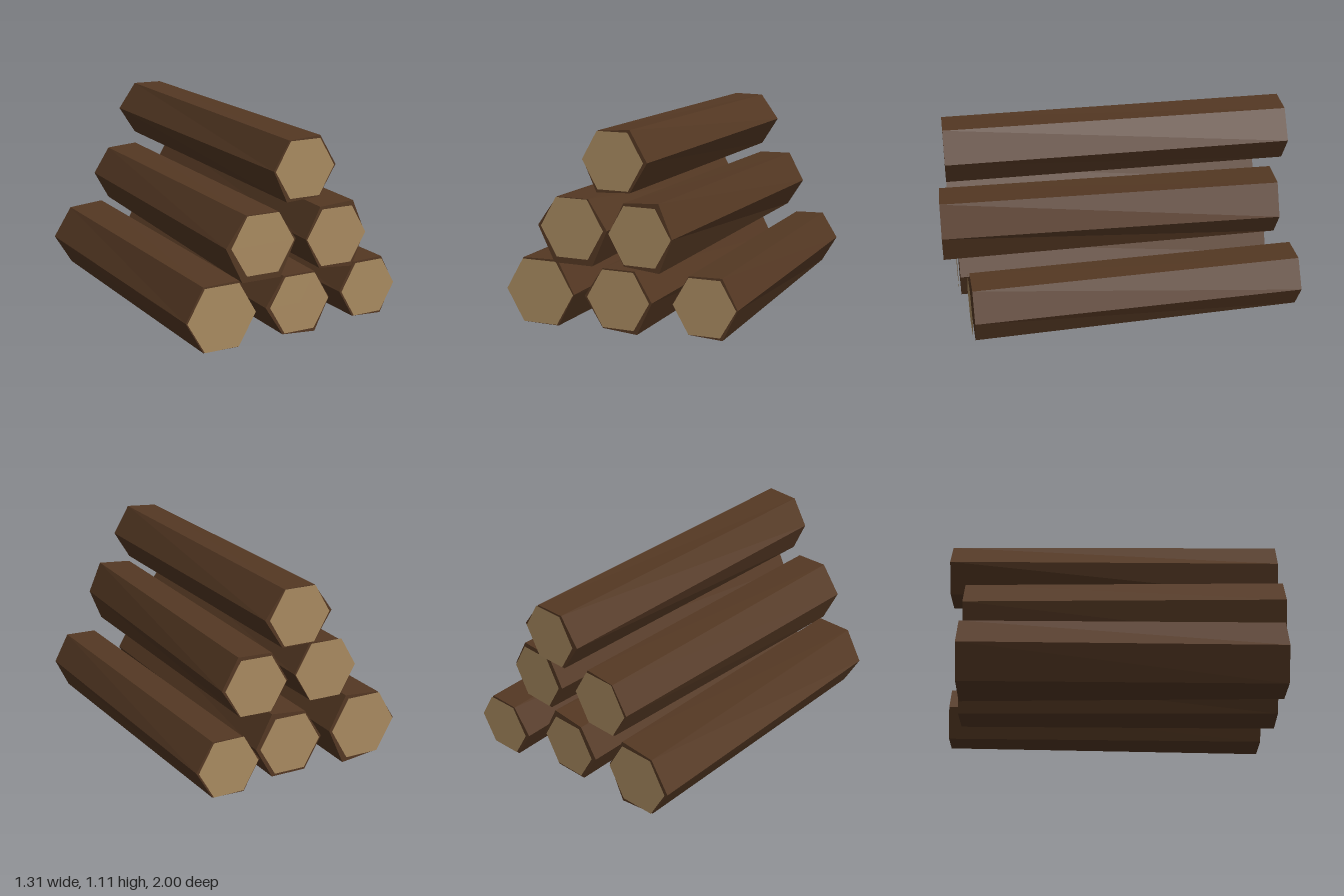
import * as THREE from 'three';

// One log per entry: height, [x, z] of each end, cut-face radius, and the uneven
// corner radii of each end (right, upper right, upper left, left, lower left, lower right).
const LOGS = [
  { name: 'bottomRightLog', y: 0.2, front: [-0.455, 0.882], back: [-0.44, -0.87], cut: 0.2,
    frontR: [0.2, 0.21, 0.205, 0.203, 0.205, 0.208], backR: [0.21, 0.22, 0.2, 0.21, 0.205, 0.235] },
  { name: 'bottomMiddleLog', y: 0.204, front: [0.01, 0.89], back: [0.045, -0.895], cut: 0.18,
    frontR: [0.19, 0.185, 0.185, 0.2, 0.19, 0.207], backR: [0.2, 0.212, 0.19, 0.2, 0.2, 0.202] },
  { name: 'bottomLeftLog', y: 0.202, front: [0.478, 0.85], back: [0.468, -0.986], cut: 0.174,
    frontR: [0.178, 0.185, 0.18, 0.18, 0.18, 0.193], backR: [0.182, 0.175, 0.17, 0.188, 0.187, 0.18] },
  { name: 'middleRightLog', y: 0.572, front: [-0.237, 0.92], back: [-0.185, -0.87], cut: 0.184,
    frontR: [0.2, 0.185, 0.185, 0.208, 0.225, 0.225], backR: [0.185, 0.19, 0.175, 0.185, 0.19, 0.182] },
  { name: 'middleLeftLog', y: 0.572, front: [0.175, 0.977], back: [0.26, -0.9], cut: 0.177,
    frontR: [0.178, 0.205, 0.19, 0.178, 0.19, 0.21], backR: [0.19, 0.195, 0.19, 0.19, 0.19, 0.18] },
  { name: 'topLog', y: 0.942, front: [0.005, 0.928], back: [0.055, -0.978], cut: 0.174,
    frontR: [0.19, 0.188, 0.175, 0.177, 0.197, 0.185], backR: [0.195, 0.172, 0.175, 0.195, 0.185, 0.185] },
];

// Six-sided prism whose corners are pushed to the given radii
function barkGeometry(length, frontR, backR) {
  const geo = new THREE.CylinderGeometry(1, 1, length, 6, 1, false, Math.PI / 2)
    .rotateX(Math.PI / 2).toNonIndexed();
  const pos = geo.attributes.position;
  for (let i = 0; i < pos.count; i++) {
    const x = pos.getX(i), y = pos.getY(i);
    if (Math.hypot(x, y) < 0.5) continue; // centre of an end face
    const corner = (Math.round(Math.atan2(y, x) / (Math.PI / 3)) + 6) % 6;
    const r = (pos.getZ(i) > 0 ? frontR : backR)[corner];
    pos.setXY(i, x * r, y * r);
  }
  geo.computeVertexNormals();
  return geo;
}

export function createModel() {
  const bark = new THREE.MeshStandardMaterial({ color: 0x543823 });
  bark.name = 'bark brown';
  const wood = new THREE.MeshStandardMaterial({ color: 0xa88a60 });
  wood.name = 'cut wood tan';

  const model = new THREE.Group();
  model.name = 'logPile';
  for (const { name, y, front, back, cut, frontR, backR } of LOGS) {
    const dx = front[0] - back[0], dz = front[1] - back[1];
    const length = Math.hypot(dx, dz);
    const log = new THREE.Group();
    log.name = name;
    log.position.set((front[0] + back[0]) / 2, y, (front[1] + back[1]) / 2);
    log.rotation.y = Math.atan2(dx, dz);

    const trunk = new THREE.Mesh(barkGeometry(length, frontR, backR), bark);
    trunk.name = 'bark';
    log.add(trunk);

    // Cut faces just clear of each end
    for (const side of [1, -1]) {
      const face = new THREE.Mesh(new THREE.CircleGeometry(cut, 6), wood);
      face.name = side > 0 ? 'frontCutFace' : 'backCutFace';
      face.position.z = side * (length / 2 + 0.012);
      if (side < 0) face.rotation.y = Math.PI;
      log.add(face);
    }
    model.add(log);
  }
  return model;
}
